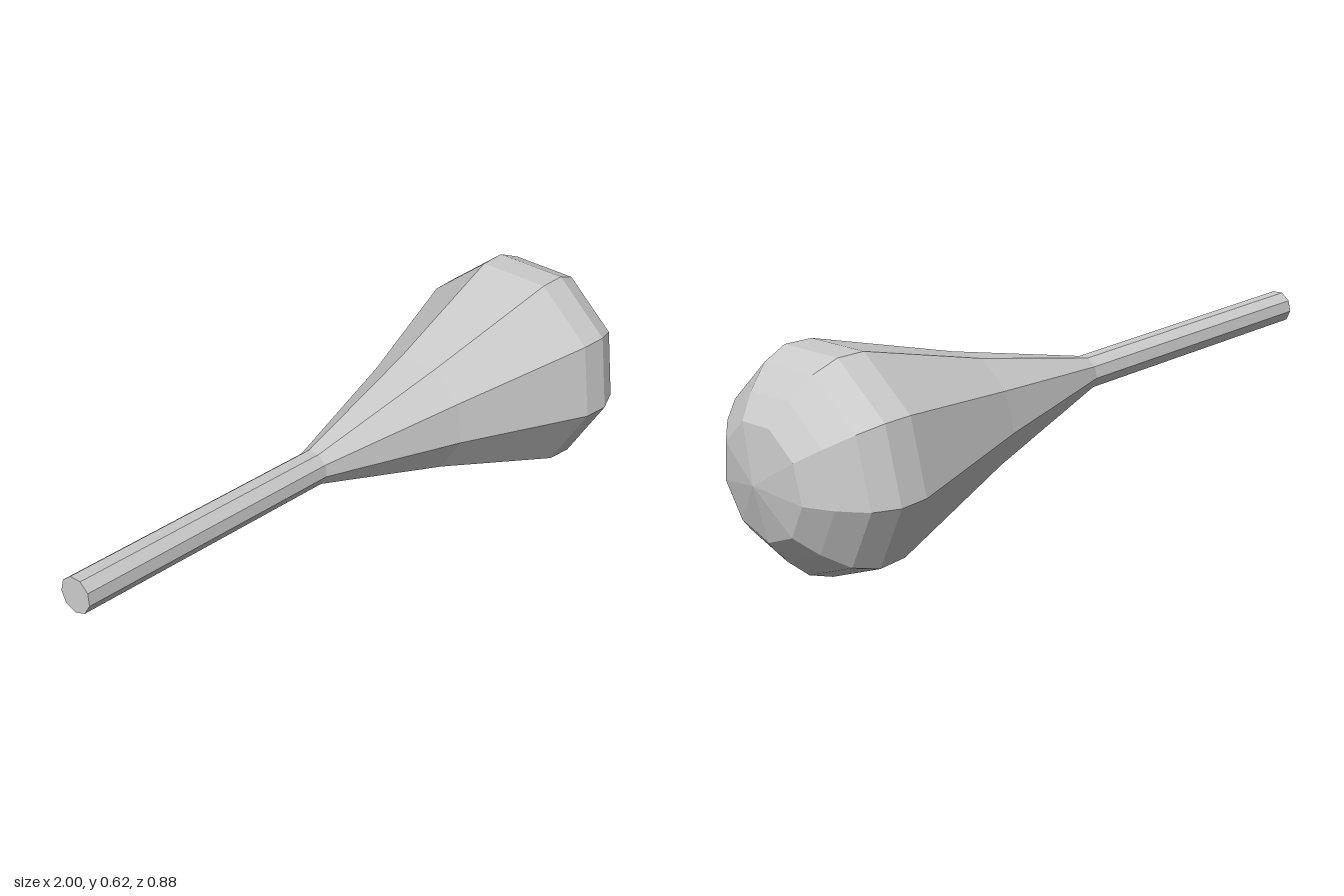
import * as THREE from 'three';

const SIDES = 9;

// Profiles as [radius, distance along the axis]
const handleProfile = [[0, 0], [0.05, 0], [0.05, 0.874]];
const bulbProfile = [
  [0.05, 0.874], [0.172, 1.316],                 // flare
  [0.315, 1.751], [0.319, 1.836], [0.29, 1.91],  // widest rings
  [0.229, 1.976], [0.163, 2.026], [0, 2.055],    // rounded end
];

function turned(name, profile) {
  const points = profile.map(([r, h]) => new THREE.Vector2(r, h));
  const geometry = new THREE.LatheGeometry(points, SIDES, THREE.MathUtils.degToRad(11));
  const material = new THREE.MeshStandardMaterial({ color: 0xcccccc, flatShading: true });
  const mesh = new THREE.Mesh(geometry, material);
  mesh.name = name;
  return mesh;
}

export function createModel() {
  const club = new THREE.Group();
  club.name = 'club';
  club.add(turned('handle', handleProfile), turned('bulb', bulbProfile));

  // Lay the turning axis down, running from the handle end to the bulb
  const axis = new THREE.Vector3(0.9556, -0.0607, -0.2886).normalize();
  const side = new THREE.Vector3(-axis.z, 0, axis.x).normalize();
  const down = new THREE.Vector3().crossVectors(axis, side);
  club.quaternion.setFromRotationMatrix(new THREE.Matrix4().makeBasis(down, axis, side));
  club.position.set(-0.983, 0.428, 0.38);

  const model = new THREE.Group();
  model.name = 'model';
  model.add(club);
  return model;
}
